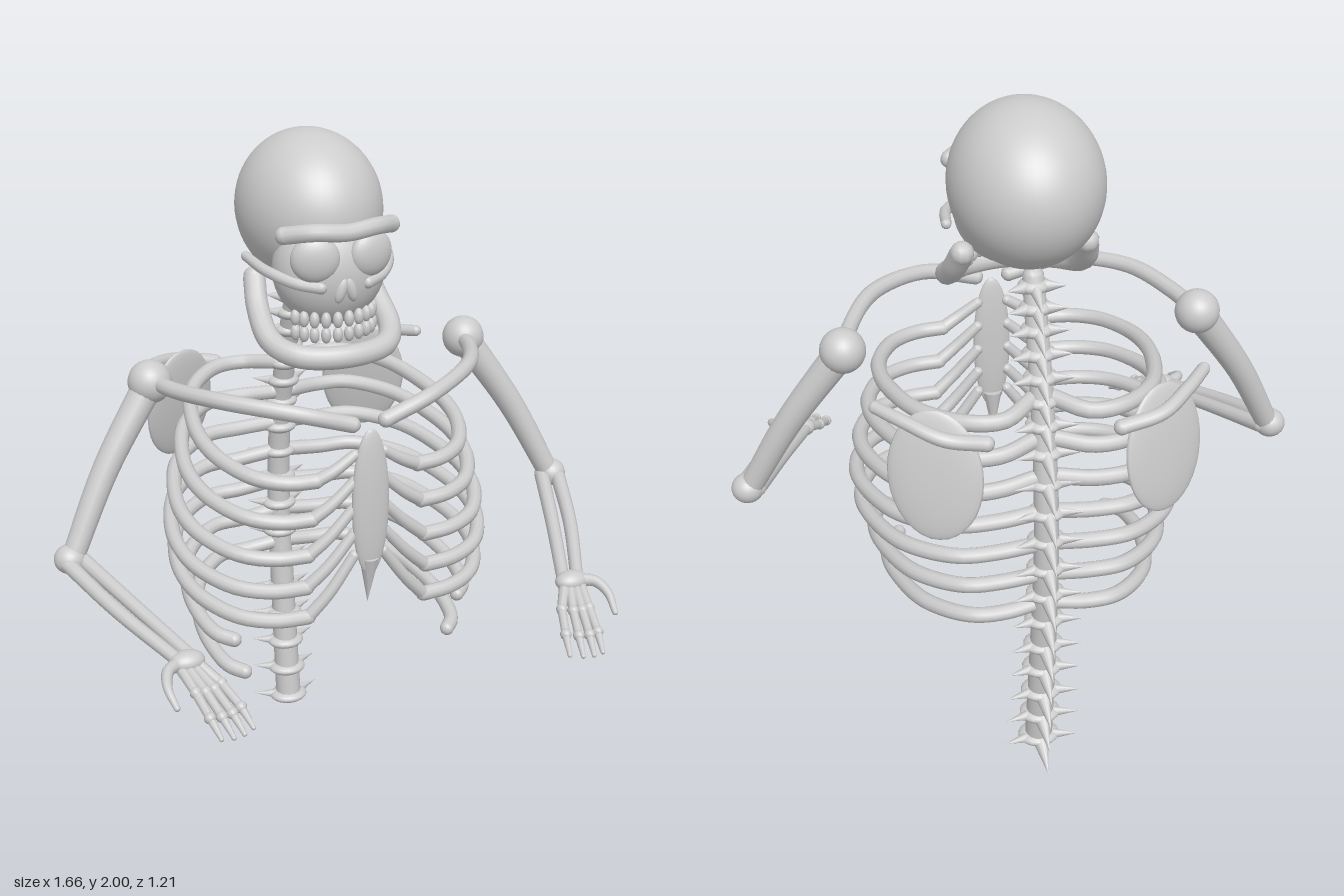
import * as THREE from 'three';

const bone = new THREE.MeshStandardMaterial({ color: 0xcccccc });
bone.name = 'bone';

const vec = (p, s = 1) => new THREE.Vector3(p[0] * s, p[1], p[2]);

export function createModel() {
  const model = new THREE.Group();
  model.name = 'skeletonTorso';

  function add(parent, name, geometry) {
    const m = new THREE.Mesh(geometry, bone);
    m.name = name;
    parent.add(m);
    return m;
  }
  function group(name, parent = model) {
    const g = new THREE.Group();
    g.name = name;
    parent.add(g);
    return g;
  }
  function ellipsoid(parent, name, c, r, detail = 24) {
    const m = add(parent, name, new THREE.SphereGeometry(1, detail, Math.ceil(detail * 0.7)));
    m.position.set(...c);
    m.scale.set(...r);
    return m;
  }
  // Round-ended tube through points, its radius running from r0 to r1
  function tube(parent, name, pts, r0, r1 = r0, s = 1, seg = 28, sides = 10) {
    const curve = new THREE.CatmullRomCurve3(pts.map((p) => vec(p, s)), false, 'centripetal');
    const geo = new THREE.TubeGeometry(curve, seg, 1, sides, false);
    const pos = geo.attributes.position, v = new THREE.Vector3();
    for (let i = 0; i <= seg; i++) {
      const c = curve.getPointAt(i / seg), r = r0 + (r1 - r0) * i / seg;
      for (let j = 0; j <= sides; j++) {
        const k = i * (sides + 1) + j;
        v.fromBufferAttribute(pos, k).sub(c).multiplyScalar(r).add(c);
        pos.setXYZ(k, v.x, v.y, v.z);
      }
    }
    add(parent, name, geo);
    [[0, r0], [1, r1]].forEach(([t, r]) => {
      ellipsoid(parent, name + 'End', curve.getPointAt(t).toArray(), [r, r, r], 10);
    });
  }
  // Pointed bone from a to b
  function spike(parent, name, a, b, r) {
    const A = vec(a), d = vec(b).sub(A), len = d.length();
    const m = add(parent, name, new THREE.ConeGeometry(r, len, 10));
    m.position.copy(A).addScaledVector(d, 0.5);
    m.quaternion.setFromUnitVectors(new THREE.Vector3(0, 1, 0), d.normalize());
  }

  // Skull
  const skull = group('skull');
  ellipsoid(skull, 'cranium', [0, 1.78, -0.215], [0.206, 0.22, 0.243], 48);
  ellipsoid(skull, 'face', [0, 1.645, -0.065], [0.165, 0.165, 0.13], 32);
  tube(skull, 'browRidge', [[-0.16, 1.765, 0], [-0.09, 1.778, 0.05], [0, 1.772, 0.062],
    [0.09, 1.778, 0.05], [0.16, 1.765, 0]], 0.025);
  tube(skull, 'jaw', [[-0.17, 1.59, -0.21], [-0.182, 1.52, -0.155], [-0.182, 1.45, -0.05],
    [-0.13, 1.425, 0.03], [0, 1.42, 0.068], [0.13, 1.425, 0.03], [0.182, 1.45, -0.05],
    [0.182, 1.52, -0.155], [0.17, 1.59, -0.21]], 0.033, 0.033, 1, 48, 12);
  for (const s of [1, -1]) {
    const socket = ellipsoid(skull, 'eyeSocket', [s * 0.083, 1.7, 0.035], [0.069, 0.066, 0.033]);
    socket.rotation.y = s * 0.25;
    const nostril = ellipsoid(skull, 'noseOpening', [s * 0.014, 1.612, 0.055], [0.017, 0.04, 0.016], 14);
    nostril.rotation.z = s * 0.3;
    tube(skull, 'cheekbone', [[0.07, 1.62, 0.045], [0.13, 1.63, 0.01], [0.185, 1.65, -0.07],
      [0.205, 1.665, -0.18]], 0.018, 0.014, s);
  }
  // Teeth along an arc, upper and lower rows
  for (const [name, y] of [['upperTooth', 1.52], ['lowerTooth', 1.477]]) {
    for (let i = 0; i < 10; i++) {
      const a = (i - 4.5) * 0.27;
      ellipsoid(skull, name, [0.125 * Math.sin(a), y, -0.065 + 0.105 * Math.cos(a)], [0.015, 0.024, 0.014], 10);
    }
  }

  // Spine column with vertebrae
  const spine = group('spine');
  const spinePts = [[0, 0.06, -0.428], [0, 0.25, -0.448], [0, 0.5, -0.472], [0, 0.7, -0.488],
    [0, 0.9, -0.485], [0, 1.1, -0.455], [0, 1.28, -0.405], [0, 1.4, -0.36], [0, 1.55, -0.305]];
  tube(spine, 'spinalColumn', spinePts, 0.041, 0.03, 1, 60, 16);
  const zAt = (y) => {
    let i = 0;
    while (i < spinePts.length - 2 && spinePts[i + 1][1] < y) i++;
    const [, y0, z0] = spinePts[i], [, y1, z1] = spinePts[i + 1];
    return z0 + (z1 - z0) * (y - y0) / (y1 - y0);
  };
  const levels = [0.047, 0.148, 0.245, 0.345, 0.44, 0.54, 0.64, 0.735, 0.83, 0.92, 1.01, 1.1,
    1.175, 1.24, 1.3, 1.36, 1.42, 1.475, 1.53];
  levels.forEach((y, i) => {
    const z = zAt(y), k = 1 - 0.016 * i, len = i < 12 ? 0.13 - 0.002 * Math.max(0, i - 6) : 0.1;
    ellipsoid(spine, 'vertebra', [0, y, z], [0.062 * k, 0.022, 0.054 * k], 18);
    spike(spine, 'rearSpike', [0, y, z - 0.02], [0, y - 0.047 * k, z - len], 0.026 * k);
    for (const s of [1, -1]) {
      spike(spine, 'sideSpike', [s * 0.03, y, z - 0.01], [s * 0.112 * k, y + 0.008, z - 0.035], 0.018);
    }
  });

  // Sternum
  ellipsoid(model, 'sternum', [0, 1.04, 0.232], [0.056, 0.225, 0.022], 28);
  spike(model, 'sternumTip', [0, 0.87, 0.227], [0, 0.72, 0.217], 0.029);

  // Ribs: half-width, height at the back, height at the front, height at the sternum
  const ribs = [[0.385, 1.235, 1.125, 1.19], [0.42, 1.125, 1.01, 1.11], [0.45, 1.015, 0.9, 1.03],
    [0.465, 0.91, 0.8, 0.95], [0.455, 0.805, 0.705, 0.88], [0.42, 0.7, 0.58], [0.385, 0.59, 0.465]];
  const ribPlan = [[0.3, -0.485], [0.54, -0.475], [0.82, -0.37], [0.97, -0.2], [1, -0.07],
    [0.95, 0.04], [0.8, 0.15], [0.6, 0.2], [0.4, 0.21]];

  for (const s of [1, -1]) {
    const side = s > 0 ? 'left' : 'right';
    const cage = group(side + 'RibCage');
    for (const [w, yBack, yFront, ySternum] of ribs) {
      const plan = ySternum ? ribPlan : [...ribPlan.slice(0, 6), [0.86, 0.08]];
      const pts = plan.map(([x, z]) => [x * w, yBack + (yFront - yBack) * (z + 0.49) / 0.7, z]);
      pts.unshift([0.03, yBack + 0.01, zAt(yBack)]);
      tube(cage, 'rib', pts, 0.023, 0.022, s, 40);
      if (ySternum) {
        const x = 0.4 * w;
        tube(cage, 'ribCartilage', [[x, yFront, 0.21], [x * 0.55 + 0.02, yFront + (ySternum - yFront) * 0.4, 0.22],
          [0.045, ySternum, 0.222]], 0.02, 0.016, s, 14);
      }
    }

    // Shoulder
    const shoulder = group(side + 'Shoulder');
    tube(shoulder, 'collarbone', [[0.05, 1.28, 0.22], [0.2, 1.325, 0.2], [0.37, 1.345, 0.08],
      [0.46, 1.335, -0.08], [0.49, 1.33, -0.19]], 0.023, 0.023, s);
    const blade = ellipsoid(shoulder, 'shoulderBlade', [s * 0.31, 1.115, -0.525], [0.13, 0.185, 0.022]);
    blade.rotation.set(0.2, -s * 0.42, 0);
    tube(shoulder, 'shoulderBladeRidge', [[0.18, 1.22, -0.56], [0.29, 1.245, -0.555],
      [0.38, 1.27, -0.49], [0.445, 1.28, -0.42]], 0.022, 0.018, s);

    // Arm
    const arm = group(side + 'Arm');
    ellipsoid(arm, 'shoulderJoint', [s * 0.497, 1.327, -0.195], [0.063, 0.063, 0.063]);
    tube(arm, 'upperArmBone', [[0.497, 1.327, -0.195], [0.65, 1.1, -0.155], [0.775, 0.86, -0.11]], 0.045, 0.033, s, 20, 14);
    ellipsoid(arm, 'elbow', [s * 0.782, 0.86, -0.11], [0.046, 0.043, 0.046]);
    for (const o of [-0.023, 0.023]) {
      tube(arm, 'forearmBone', [[0.775 + o, 0.858, -0.105 + o * 0.4], [0.692 + o * 1.1, 0.8, 0.12 + o * 0.4],
        [0.595 + o * 0.8, 0.738, 0.345 + o * 0.4]], 0.023, 0.019, s, 16);
    }
    ellipsoid(arm, 'wrist', [s * 0.592, 0.735, 0.358], [0.05, 0.03, 0.036]);

    // Hand: four fingers of three bones and a curved thumb
    const hand = group(side + 'Hand', arm);
    for (let i = 0; i < 4; i++) {
      const reach = [0, 0.006, 0, -0.02][i];
      const j = [[0.615 - 0.017 * i, 0.725, 0.37], [0.6 - 0.026 * i, 0.69, 0.45 + reach],
        [0.587 - 0.031 * i, 0.652, 0.525 + reach], [0.575 - 0.032 * i, 0.615, 0.578 + reach]];
      const radii = [0.017, 0.014, 0.013, 0.007];
      for (let n = 0; n < 3; n++) {
        tube(hand, 'fingerBone', [j[n], j[n + 1]], radii[n], radii[n + 1], s, 3, 8);
        if (n) ellipsoid(hand, 'knuckle', vec(j[n], s).toArray(), [0.017, 0.017, 0.017], 10);
      }
    }
    tube(hand, 'thumb', [[0.615, 0.735, 0.36], [0.655, 0.735, 0.39], [0.672, 0.715, 0.435],
      [0.665, 0.68, 0.49]], 0.02, 0.009, s, 14);
  }
  return model;
}
